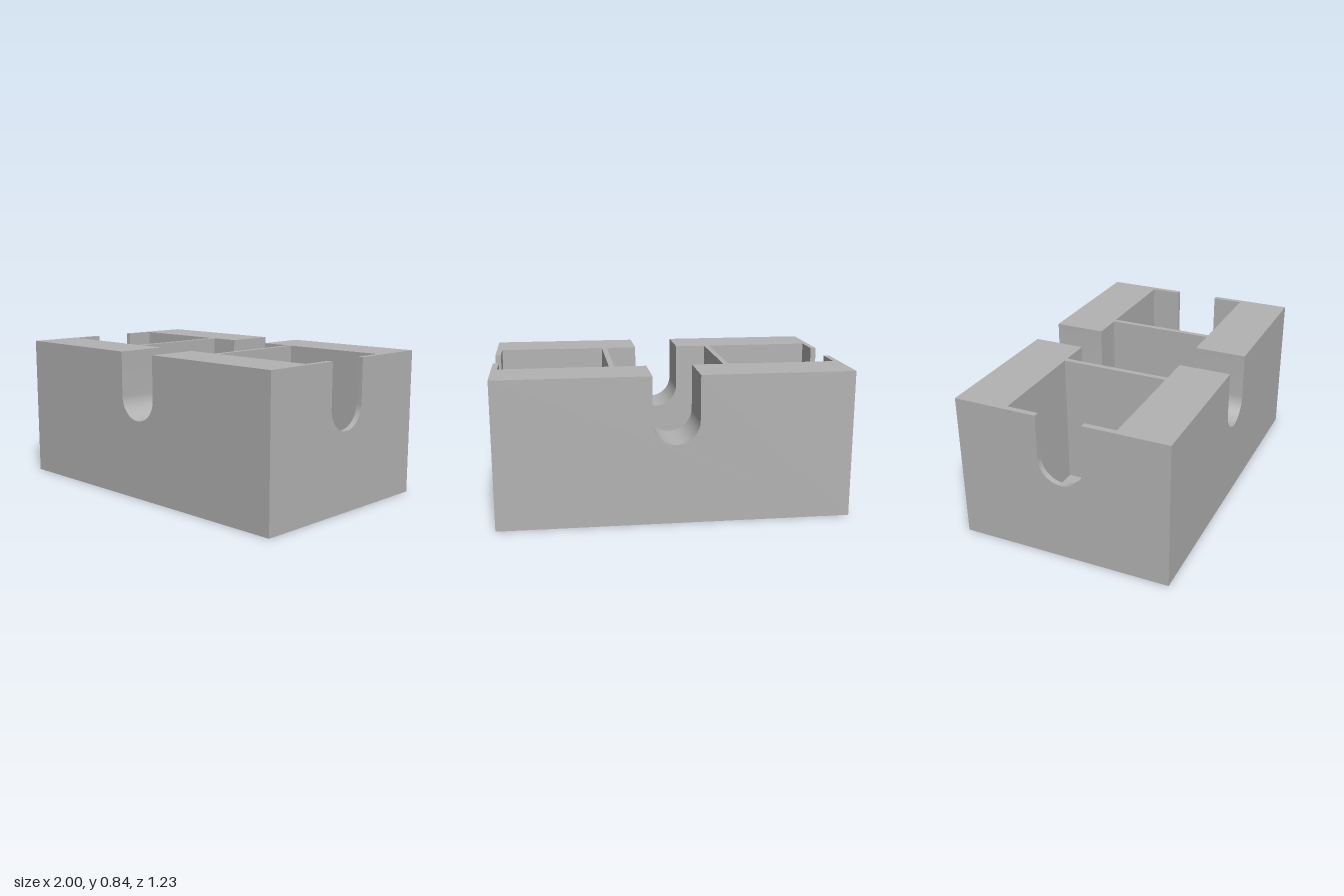
import * as THREE from 'three';
import { toCreasedNormals } from 'three/addons/utils/BufferGeometryUtils.js';

const H = 0.843;          // block height
const X = 1, Z = 0.615;   // outer half sizes
const POCKET_Z = 0.313;   // half depth of the pockets
const SIDE = 0.033;       // thickness of the end walls
const FLOOR = 0.07;       // floor thickness
const R = 0.132;          // slot radius
const SLOT_Y = 0.456 + R; // height of the slot's arc centre

const grey = new THREE.MeshStandardMaterial({ color: 0xb3b3b3 });
grey.name = 'grey';

// Upright wall with a round-bottomed slot open at the top
function slottedWall(name, halfWidth, thickness) {
  const s = new THREE.Shape();
  s.moveTo(-halfWidth, 0);
  s.lineTo(halfWidth, 0);
  s.lineTo(halfWidth, H);
  s.lineTo(R, H);
  s.lineTo(R, SLOT_Y);
  s.absarc(0, SLOT_Y, R, 0, -Math.PI, true);
  s.lineTo(-R, H);
  s.lineTo(-halfWidth, H);
  s.closePath();
  const g = new THREE.ExtrudeGeometry(s, { depth: thickness, bevelEnabled: false, curveSegments: 32 });
  g.translate(0, 0, -thickness / 2);
  const mesh = new THREE.Mesh(toCreasedNormals(g, 0.5), grey);
  mesh.name = name;
  return mesh;
}

function box(name, w, h, d, x, y, z) {
  const mesh = new THREE.Mesh(new THREE.BoxGeometry(w, h, d), grey);
  mesh.name = name;
  mesh.position.set(x, y, z);
  return mesh;
}

export function createModel() {
  const model = new THREE.Group();
  model.name = 'compartmentBlock';

  // Thick front and back walls
  const thick = Z - POCKET_Z;
  for (const side of [1, -1]) {
    const wall = slottedWall(side > 0 ? 'frontWall' : 'backWall', X, thick);
    wall.position.z = side * (Z - thick / 2);
    model.add(wall);
  }

  // Thin end walls and the dividers between the three pockets
  for (const side of [1, -1]) {
    const label = side > 0 ? 'left' : 'right';
    const end = slottedWall(label + 'EndWall', POCKET_Z, SIDE);
    end.rotation.y = Math.PI / 2;
    end.position.x = side * (X - SIDE / 2);
    model.add(end);
    model.add(box(label + 'Divider', 0.031, H - FLOOR, POCKET_Z * 2, side * 0.329, (H + FLOOR) / 2, 0));
  }

  // Pocket floor
  model.add(box('floor', (X - SIDE) * 2, FLOOR, POCKET_Z * 2, 0, FLOOR / 2, 0));
  return model;
}
